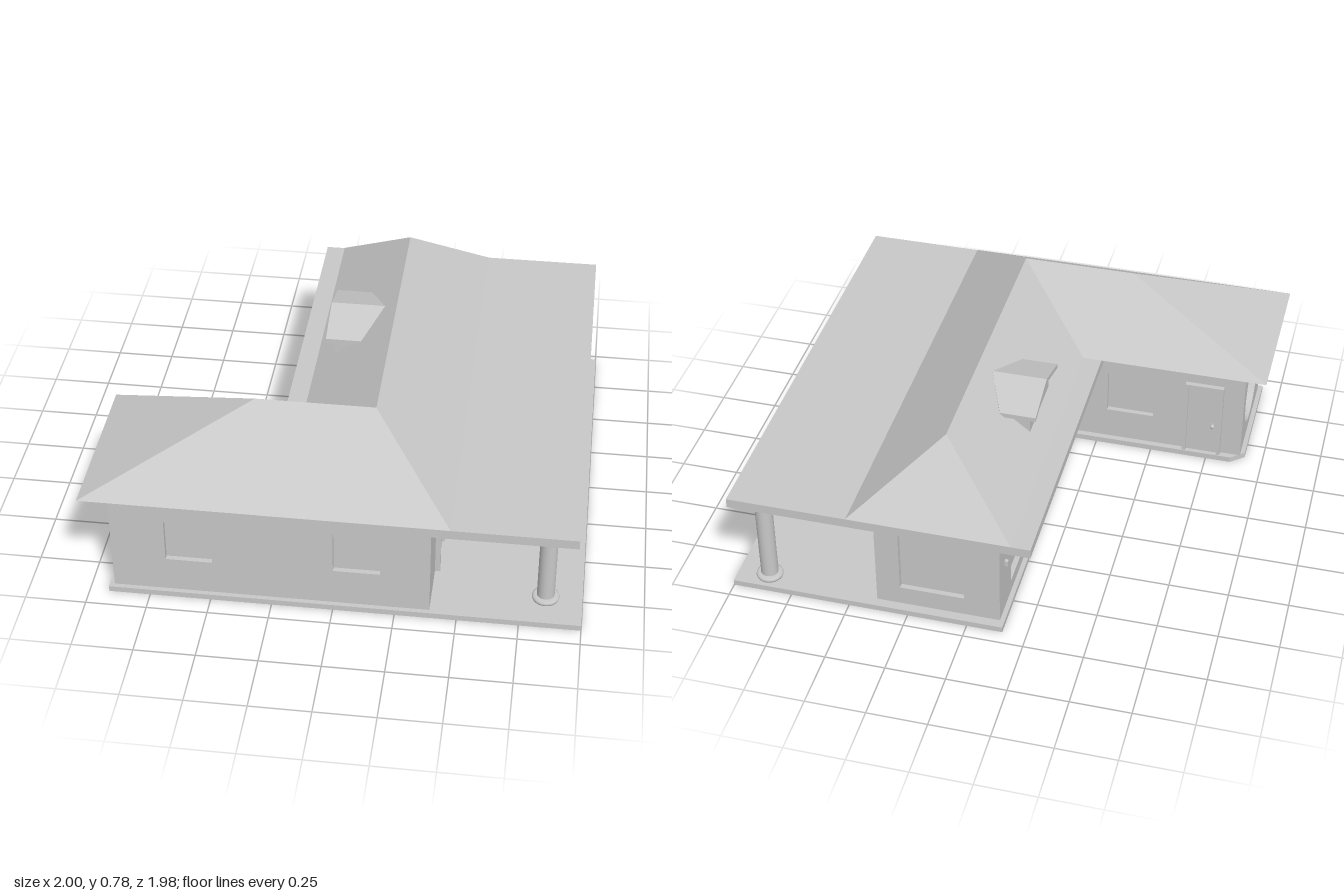
import * as THREE from 'three';

const grey = new THREE.MeshStandardMaterial({ color: 0xc8c8c8, side: THREE.DoubleSide });
grey.name = 'light grey';

function add(parent, name, geo, x = 0, y = 0, z = 0) {
  const m = new THREE.Mesh(geo, grey);
  m.name = name;
  m.position.set(x, y, z);
  parent.add(m);
  return m;
}

function box(parent, name, x0, x1, y0, y1, z0, z1) {
  return add(parent, name, new THREE.BoxGeometry(x1 - x0, y1 - y0, z1 - z0),
    (x0 + x1) / 2, (y0 + y1) / 2, (z0 + z1) / 2);
}

// Flat-faced solid from corner points and convex polygons
function solid(points, polys) {
  const pos = [];
  for (const p of polys)
    for (let i = 1; i < p.length - 1; i++)
      pos.push(...points[p[0]], ...points[p[i]], ...points[p[i + 1]]);
  const g = new THREE.BufferGeometry();
  g.setAttribute('position', new THREE.Float32BufferAttribute(pos, 3));
  g.computeVertexNormals();
  return g;
}

const outline = pts => new THREE.Shape(pts.map(p => new THREE.Vector2(...p)));
const rect = (a, b, c, d) => outline([[a, c], [b, c], [b, d], [a, d]]);

const WALL = 0.03, FLOOR = 0.025, TOP = 0.515;

// Wall in local (u, y), turned about the origin so local +z faces outwards
function wall(parent, name, turn, d, u0, u1, { windows = [], door, lamps = [], round }, top = TOP) {
  const g = new THREE.Group();
  g.name = name;
  g.rotation.y = turn;
  parent.add(g);
  const shape = rect(u0, u1, FLOOR, top);
  for (const w of windows) {
    const [a, b, c, e] = w;
    shape.holes.push(rect(a, b, c, e));
    box(g, 'windowPane', a, b, c, e, d - WALL, d - WALL + 0.008);
    const f = rect(a - 0.006, b + 0.006, c - 0.006, e + 0.006);
    f.holes.push(rect(a + 0.01, b - 0.01, c + 0.01, e - 0.01));
    add(g, 'windowFrame', new THREE.ExtrudeGeometry(f, { depth: 0.016, bevelEnabled: false }), 0, 0, d - WALL - 0.008);
  }
  if (round) {
    const h = new THREE.Path();
    h.absarc(round[0], round[1], round[2], 0, Math.PI * 2);
    shape.holes.push(h);
  }
  add(g, 'wallPanel', new THREE.ExtrudeGeometry(shape, { depth: WALL, bevelEnabled: false, curveSegments: 24 }), 0, 0, d - WALL);
  if (door) {
    const [a, b, knobU] = door, h = 0.39, t = 0.015;
    const f = outline([[a, FLOOR], [a + t, FLOOR], [a + t, h - t], [b - t, h - t], [b - t, FLOOR], [b, FLOOR], [b, h], [a, h]]);
    add(g, 'doorFrame', new THREE.ExtrudeGeometry(f, { depth: 0.022, bevelEnabled: false }), 0, 0, d);
    box(g, 'doorLeaf', a + t, b - t, FLOOR, h - t, d - 0.002, d + 0.006);
    const stem = add(g, 'doorKnobStem', new THREE.CylinderGeometry(0.004, 0.004, 0.02, 10), knobU, 0.182, d + 0.014);
    stem.rotation.x = Math.PI / 2;
    add(g, 'doorKnob', new THREE.SphereGeometry(0.01, 14, 10), knobU, 0.182, d + 0.025);
  }
  for (const u of lamps) {
    box(g, 'lampBody', u - 0.008, u + 0.008, 0.248, 0.27, d, d + 0.014);
    const cap = add(g, 'lampCap', new THREE.CylinderGeometry(0.008, 0.008, 0.014, 12), u, 0.27, d + 0.007);
    cap.rotation.x = Math.PI / 2;
  }
}

export function createModel() {
  const house = new THREE.Group();
  house.name = 'house';

  // Base plate, open beneath the rooms
  const plate = outline([[-0.92, 0.92], [1, 0.92], [1, -0.94], [-0.15, -0.94], [-0.15, 0.36], [-0.86, 0.36], [-0.92, 0.41]]);
  plate.holes.push(outline([[-0.87, 0.87], [0.36, 0.87], [0.36, -0.87], [-0.1, -0.87], [-0.1, 0.416], [-0.87, 0.416]]));
  const plateGeo = new THREE.ExtrudeGeometry(plate, { depth: FLOOR, bevelEnabled: false });
  plateGeo.rotateX(Math.PI / 2);
  add(house, 'basePlate', plateGeo, 0, FLOOR, 0);

  // Walls
  const Q = Math.PI / 2;
  wall(house, 'frontWall', 0, 0.9, -0.9, 0.39, {
    windows: [[-0.68, -0.49, 0.18, 0.37], [0, 0.19, 0.19, 0.38]],
  });
  wall(house, 'porchWall', Q, 0.39, -0.9, 0.9, {
    windows: [[-0.23, 0.1, 0.08, 0.41], [0.315, 0.64, 0.08, 0.41]],
    door: [-0.66, -0.455, -0.608], lamps: [-0.33, 0.205, 0.755],
  }, 0.5);
  wall(house, 'backWall', 2 * Q, 0.9, -0.39, 0.13, { windows: [[-0.29, -0.02, 0.11, 0.4]] }, 0.5);
  wall(house, 'courtWall', -Q, 0.13, -0.9, 0.386, {
    windows: [[-0.72, -0.39, 0.08, 0.41], [-0.22, 0.14, 0.08, 0.41]],
    lamps: [-0.81, -0.31, 0.28],
  }, 0.5);
  wall(house, 'wingBackWall', 2 * Q, -0.386, 0.13, 0.9, {
    windows: [[0.29, 0.5, 0.17, 0.37]], door: [0.64, 0.81, 0.77],
  });
  wall(house, 'wingEndWall', -Q, 0.9, 0.386, 0.9, { round: [0.63, 0.25, 0.175] });

  // Flat roof deck carried out over the porch
  box(house, 'roofDeck', -0.28, 0.967, 0.477, 0.517, -0.995, 0.985);

  // L-shaped hipped roof
  const e = 0.518, r = 0.782;
  add(house, 'hippedRoof', solid([
    [-1, e, 0.985], [0.47, e, 0.985], [0.47, e, -0.995], [-0.2, e, -0.995], [-0.2, e, 0.275], [-1, e, 0.275],
    [-0.35, r, 0.585], [0.135, r, 0.585], [0.135, r, -0.7],
  ], [
    [0, 1, 7, 6], [1, 2, 8, 7], [2, 3, 8], [3, 4, 7, 8], [4, 5, 6, 7], [5, 0, 6],
    [0, 5, 4], [0, 4, 1], [1, 4, 3], [1, 3, 2],
  ]));

  // Dormer on the court side
  const dormer = new THREE.Group();
  dormer.name = 'dormer';
  dormer.position.z = -0.2;
  house.add(dormer);
  const gable = outline([[-0.16, 0.55], [0.16, 0.55], [0.16, 0.672], [0, 0.728], [-0.16, 0.672]]);
  const bodyGeo = new THREE.ExtrudeGeometry(gable, { depth: 0.12, bevelEnabled: false });
  bodyGeo.rotateY(Q);
  add(dormer, 'dormerBody', bodyGeo, -0.12, 0, 0);
  const h = 0.02;
  for (const s of [-1, 1]) {
    const w = 0.19 * s;
    const polys = [[0, 1, 2, 3], [7, 6, 5, 4], [0, 4, 5, 1], [1, 5, 6, 2], [2, 6, 7, 3], [3, 7, 4, 0]];
    add(dormer, 'dormerRoofSide', solid([
      [-0.15, 0.74, 0], [-0.15, 0.68, w], [0, 0.68, w], [0.08, 0.74, 0],
      [-0.15, 0.74 - h, 0], [-0.15, 0.68 - h, w], [0, 0.68 - h, w], [0.08, 0.74 - h, 0],
    ], s > 0 ? polys : polys.map(p => [...p].reverse())));
  }

  // Porch columns with rounded rings at foot and head
  for (const [x, z] of [[0.85, 0.77], [0.865, -0.87]]) {
    const c = new THREE.Group();
    c.name = 'porchColumn';
    c.position.set(x, 0, z);
    house.add(c);
    add(c, 'columnShaft', new THREE.CylinderGeometry(0.036, 0.036, 0.455, 32), 0, 0.2525, 0);
    for (const [y, name] of [[0.036, 'columnFoot'], [0.464, 'columnHead']]) {
      const ring = [[0, -0.012], [0.046, -0.012], [0.054, -0.007], [0.056, 0], [0.054, 0.007], [0.046, 0.012], [0, 0.012]];
      add(c, name, new THREE.LatheGeometry(ring.map(p => new THREE.Vector2(...p)), 32), 0, y, 0);
    }
  }
  return house;
}
